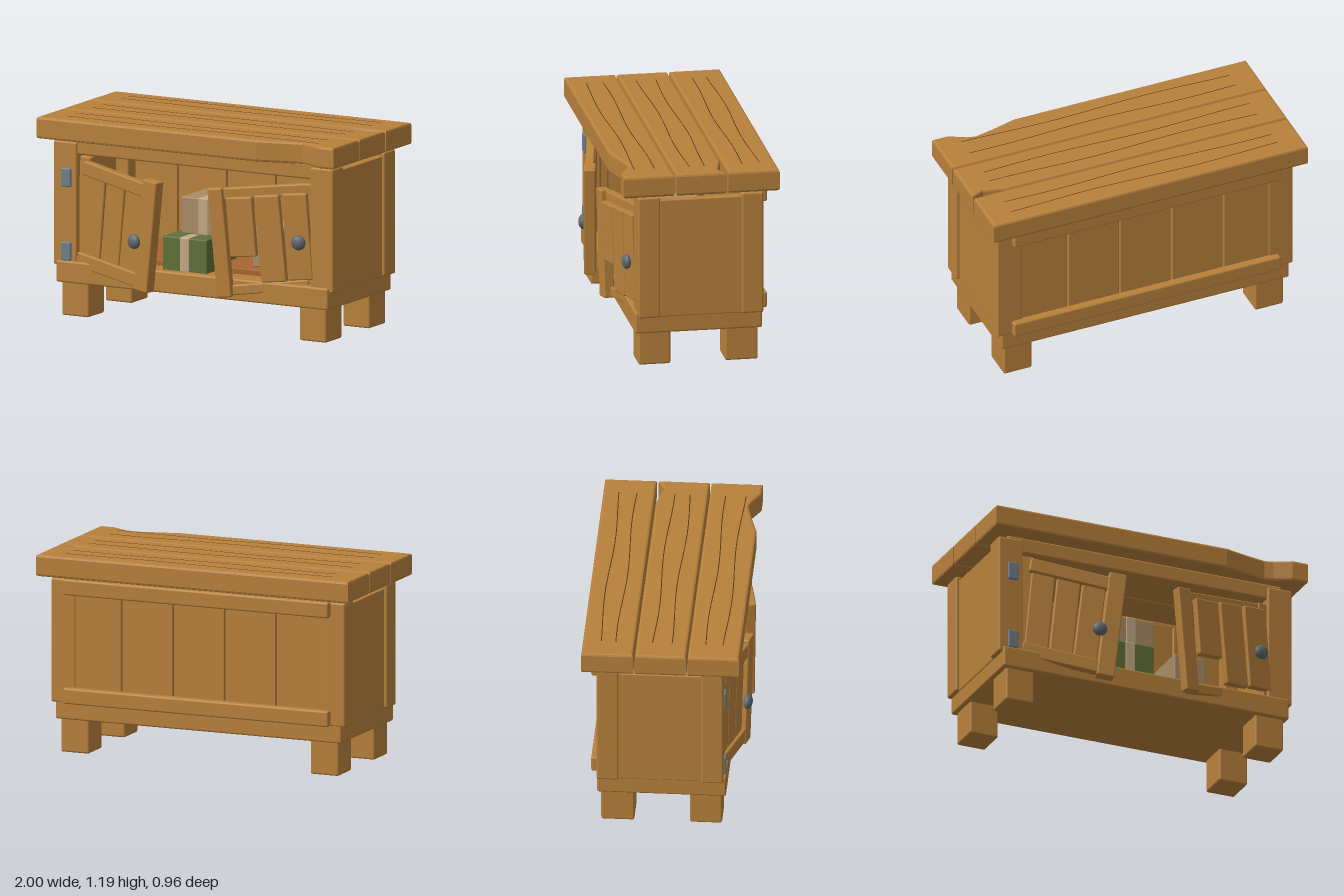
import * as THREE from 'three';
import { RoundedBoxGeometry } from 'three/addons/geometries/RoundedBoxGeometry.js';

const mat = (name, color) => {
  const m = new THREE.MeshStandardMaterial({ color });
  m.name = name;
  return m;
};

export function createModel() {
  const wood = mat('wood', 0xb8813c);
  const grain = mat('dark grain', 0x5c3c1a);
  const floorWood = mat('red floor wood', 0xa9642f);
  const iron = mat('iron knob', 0x5e686d);
  const steel = mat('steel hinge', 0x6f7f8a);
  const green = mat('green carton', 0x5f7038);
  const tan = mat('tan carton', 0xa88c66);
  const tape = mat('packing tape', 0xc2aa84);

  const model = new THREE.Group();
  model.name = 'cabinet';

  const add = (parent, name, geometry, material) => {
    const mesh = new THREE.Mesh(geometry, material);
    mesh.name = name;
    parent.add(mesh);
    return mesh;
  };
  // Rounded block given by its limits on each axis
  const block = (name, [x0, x1], [y0, y1], [z0, z1], material = wood, r = 0.012) => {
    const g = new RoundedBoxGeometry(x1 - x0, y1 - y0, z1 - z0, 2, r);
    g.translate((x0 + x1) / 2, (y0 + y1) / 2, (z0 + z1) / 2);
    return add(model, name, g, material);
  };

  // Legs, posts and side panels
  for (const s of [-1, 1]) {
    const span = (a, b) => (s > 0 ? [a, b] : [-b, -a]);
    block('frontLeg', span(0.71, 0.89), [0, 0.22], [0.15, 0.34]);
    block('backLeg', span(0.71, 0.89), [0, 0.22], [-0.37, -0.175]);
    block('frontPost', span(0.785, 0.942), [0.3, 1.04], [0.22, 0.35]);
    block('backPost', span(0.785, 0.942), [0.3, 1.04], [-0.395, -0.265]);
    block('sidePanel', span(0.87, 0.922), [0.3, 1.015], [-0.3, 0.25], wood, 0.006);
  }

  // Base, floor and rails
  block('base', [-0.917, 0.915], [0.2, 0.33], [-0.392, 0.365]);
  block('floor', [-0.87, 0.87], [0.3, 0.365], [-0.36, 0.22], floorWood, 0.005);
  block('topRail', [-0.88, 0.88], [0.965, 1.06], [0.23, 0.338]);
  for (const y of [0.3, 0.95]) block('backRail', [-0.85, 0.85], [y, y + 0.095], [-0.432, -0.37]);

  // Back boards with narrow gaps
  for (let i = 0; i < 5; i++) {
    const x = -0.665 + i * 0.33;
    block('backBoard', [x - 0.161, x + 0.161], [0.3, 1.02], [-0.388, -0.35], wood, 0.006);
  }

  // Top planks: outlines in x and z, with worn edges
  const plank = (outline) => {
    const shape = new THREE.Shape(outline.map(([x, z]) => new THREE.Vector2(x, -z)));
    const b = 0.014;
    const g = new THREE.ExtrudeGeometry(shape, {
      depth: 0.13 - 2 * b, bevelEnabled: true, bevelSize: b, bevelOffset: -b, bevelThickness: b, bevelSegments: 2,
    });
    g.rotateX(-Math.PI / 2);
    g.translate(0, 1.06 + b, 0);
    add(model, 'topPlank', g, wood);
  };
  plank([[-1, 0.447], [0.48, 0.447], [0.62, 0.41], [0.75, 0.382], [0.8, 0.395], [0.9, 0.447], [1, 0.447], [1, 0.145], [-1, 0.145]]);
  plank([[-1, 0.135], [1, 0.135], [1, -0.165], [0.92, -0.127], [0.77, -0.165], [-1, -0.165]]);
  plank([[-1, -0.176], [1, -0.176], [1, -0.48], [-1, -0.48]]);

  // Wavy grain lines on the top
  [-0.38, -0.28, -0.068, 0.035, 0.245, 0.35].forEach((z, i) => {
    const pts = [];
    for (let k = 0; k <= 20; k++) {
      const x = -0.85 + k * 0.085;
      pts.push(new THREE.Vector3(x, 1.188, z + 0.009 * Math.sin(x * 5 + i * 1.9)));
    }
    add(model, 'grainLine', new THREE.TubeGeometry(new THREE.CatmullRomCurve3(pts), 60, 0.004, 5), grain);
  });

  // Crooked doors: boards run between two front-on points, at local depths z0 to z1
  const door = (name, hx, hz, yaw) => {
    const group = new THREE.Group();
    group.name = name;
    group.position.set(hx, 0, hz);
    group.rotation.y = yaw;
    model.add(group);
    const u = (x) => (x - hx) / Math.cos(yaw);
    return {
      board(label, [xa, ya], [xb, yb], width, z0, z1) {
        const dx = u(xb) - u(xa), dy = yb - ya;
        const g = new RoundedBoxGeometry(Math.hypot(dx, dy), width, z1 - z0, 2, 0.009);
        const m = add(group, label, g, wood);
        m.position.set((u(xa) + u(xb)) / 2, (ya + yb) / 2, (z0 + z1) / 2);
        m.rotation.z = Math.atan2(dy, dx);
      },
      knob(x, y, z) {
        const m = add(group, 'knob', new THREE.SphereGeometry(0.044, 20, 14), iron);
        m.scale.z = 0.6;
        m.position.set(u(x), y, z);
      },
    };
  };

  const right = door('rightDoor', -0.8, 0.31, -0.21);
  right.board('hingeStile', [-0.775, 0.34], [-0.745, 0.955], 0.08, -0.045, 0);
  right.board('doorPlank', [-0.70, 0.32], [-0.65, 0.88], 0.143, -0.025, 0.01);
  right.board('doorPlank', [-0.555, 0.30], [-0.50, 0.86], 0.143, -0.025, 0.01);
  right.board('doorPlank', [-0.413, 0.28], [-0.352, 0.84], 0.143, -0.025, 0.01);
  right.board('doorRail', [-0.735, 0.893], [-0.26, 0.815], 0.085, -0.02, 0.03);
  right.board('doorRail', [-0.785, 0.345], [-0.32, 0.272], 0.085, -0.02, 0.03);
  right.board('doorStile', [-0.295, 0.214], [-0.22, 0.882], 0.107, -0.035, 0.036);
  right.knob(-0.33, 0.508, 0.045);

  const left = door('leftDoor', 0.8, 0.325, 0.19);
  left.board('hingeStile', [0.8, 0.34], [0.765, 0.935], 0.07, -0.05, 0);
  left.board('doorRail', [0.24, 0.84], [0.76, 0.9], 0.07, -0.06, -0.01);
  left.board('doorRail', [0.25, 0.262], [0.76, 0.33], 0.06, -0.06, -0.02);
  left.board('doorStile', [0.26, 0.23], [0.2, 0.877], 0.09, -0.045, 0.018);
  left.board('brokenPlank', [0.38, 0.481], [0.35, 0.834], 0.162, -0.015, 0.03);
  left.board('doorPlank', [0.565, 0.342], [0.517, 0.856], 0.155, -0.015, 0.03);
  left.board('doorPlank', [0.727, 0.364], [0.686, 0.877], 0.155, -0.015, 0.03);
  left.knob(0.72, 0.59, 0.045);

  // Hinge plates on the post
  for (const y of [0.33, 0.77]) block('hingePlate', [-0.885, -0.82], [y, y + 0.112], [0.335, 0.362], steel, 0.008);

  // Cartons, each with a band of tape
  const carton = (name, [x0, x1], [y0, y1], [z0, z1], material) => {
    block(name, [x0, x1], [y0, y1], [z0, z1], material, 0.008);
    const c = (x0 + x1) / 2, e = 0.003;
    block(name + 'Tape', [c - 0.033, c + 0.033], [y0, y1 + e], [z0 - e, z1 + e], tape, 0.008);
  };
  carton('greenCarton', [-0.23, 0.07], [0.325, 0.53], [-0.05, 0.31], green);
  carton('tanCarton', [-0.17, 0.125], [0.53, 0.75], [-0.165, 0.19], tan);
  carton('smallCarton', [0.28, 0.48], [0.365, 0.6], [-0.15, 0.14], tan);

  return model;
}
